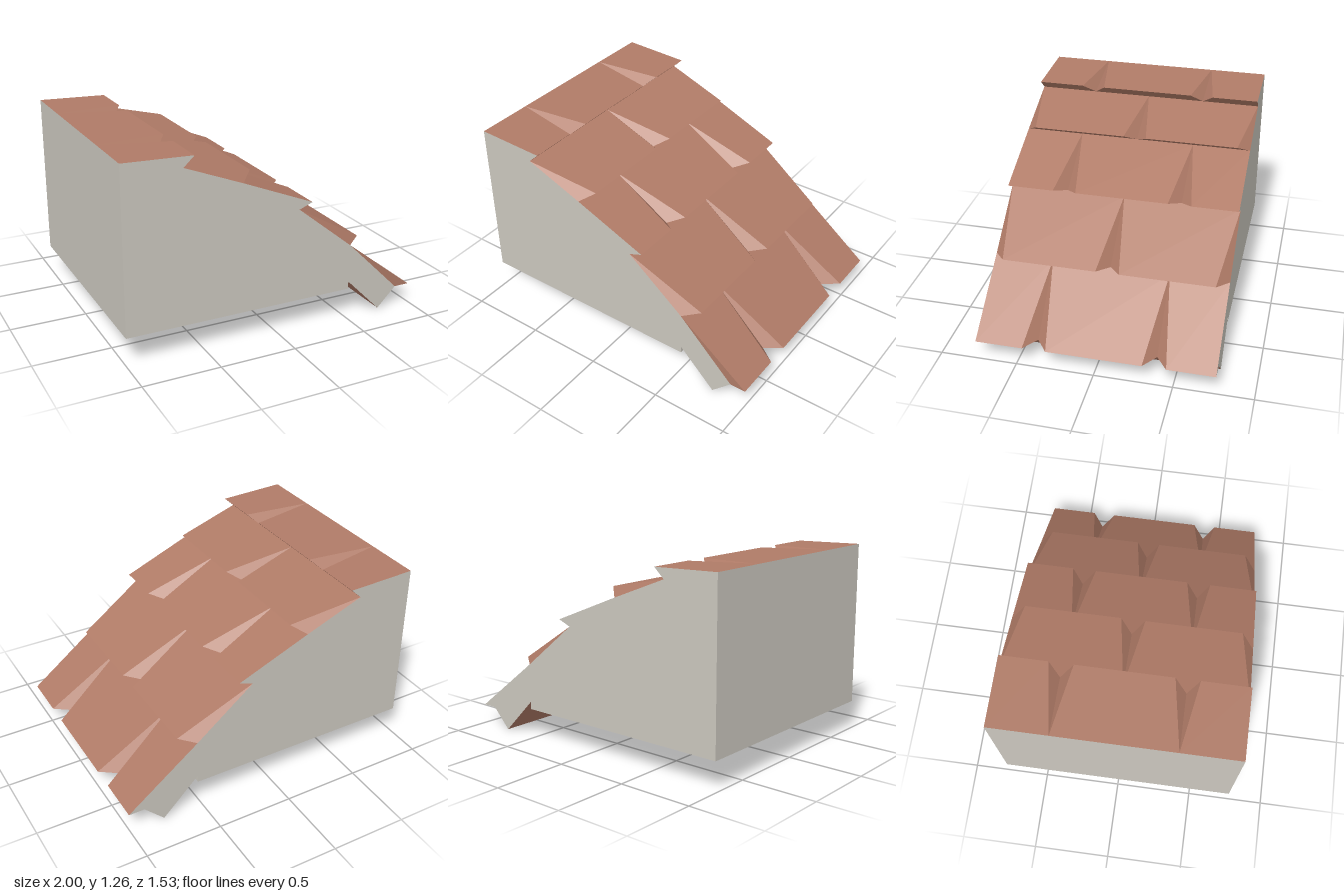
import * as THREE from 'three';

const HALF = 0.763;   // half depth along z
const GAP = 0.076;    // half width of a notch at the tile tips

// Each course: start on the slope, projecting tip, foot under the tip
const courses = [
  { a: [-1, 1.26], t: [-0.55, 1.245], b: [-0.62, 1.18] },
  { a: [-0.62, 1.18], t: [-0.16, 1.08], b: [-0.24, 1.03] },
  { a: [-0.24, 1.03], t: [0.235, 0.835], b: [0.145, 0.8] },
  { a: [0.145, 0.8], t: [0.625, 0.515], b: [0.525, 0.495] },
  { a: [0.525, 0.495], t: [1, 0.13], b: [0.895, 0.13] },
];

// Flat-shaded mesh from a list of convex polygons
function polyMesh(name, polys, material) {
  const pos = [];
  for (const p of polys)
    for (let i = 1; i < p.length - 1; i++) pos.push(...p[0], ...p[i], ...p[i + 1]);
  const geo = new THREE.BufferGeometry();
  geo.setAttribute('position', new THREE.Float32BufferAttribute(pos, 3));
  geo.computeVertexNormals();
  const mesh = new THREE.Mesh(geo, material);
  mesh.name = name;
  return mesh;
}

// Side profile extruded over the full depth
function prism(name, points, materials) {
  const shape = new THREE.Shape(points.map(([x, y]) => new THREE.Vector2(x, y)));
  const geo = new THREE.ExtrudeGeometry(shape, { depth: 2 * HALF, bevelEnabled: false });
  geo.translate(0, 0, -HALF);
  const mesh = new THREE.Mesh(geo, materials);
  mesh.name = name;
  return mesh;
}

export function createModel() {
  const plaster = new THREE.MeshStandardMaterial({ color: 0xcbc7be });
  plaster.name = 'plaster';
  const clay = new THREE.MeshStandardMaterial({ color: 0xb07b67 });
  clay.name = 'clay';

  const model = new THREE.Group();
  model.name = 'roofSection';

  // Solid wall core below the tiles
  model.add(prism('core', [[-1, 0.19], [0.525, 0.19], ...courses.slice(0, 4).map(c => c.b).reverse(), [-1, 1.26]],
    [plaster, plaster]));

  // Overhanging eave: plaster ends, clay faces
  model.add(prism('eave', [[0.525, 0.24], [0.765, 0], [0.895, 0.13], [0.525, 0.495]], [plaster, clay]));

  // Staggered tile courses, with V notches between neighbouring tiles
  courses.forEach(({ a, t, b }, row) => {
    const group = new THREE.Group();
    group.name = `tileCourse${row + 1}`;
    const offset = row % 2 === 1;
    const joints = offset ? [-HALF, 0, HALF] : [-HALF, -HALF / 2, HALF / 2, HALF];
    for (let i = 0; i < joints.length - 1; i++) {
      const z0 = joints[i], z1 = joints[i + 1];
      const first = i === 0, last = i === joints.length - 2;
      const t0 = z0 + (first && !offset ? 0 : GAP);
      const t1 = z1 - (last && !offset ? 0 : GAP);
      const faces = [
        [[...a, z0], [...a, z1], [...t, t1], [...t, t0]],   // top
        [[...b, z0], [...t, t0], [...t, t1], [...b, z1]],   // underside
      ];
      const back = [[...a, z0], [...t, t0], [...b, z0]];
      const front = [[...a, z1], [...b, z1], [...t, t1]];
      const ends = [];
      // Square ends belong to the plaster wall, except the lowest front one
      (first && !offset ? ends : faces).push(back);
      (last && !offset && row < 4 ? ends : faces).push(front);
      group.add(polyMesh('tile', faces, clay));
      if (ends.length) group.add(polyMesh('tileEnd', ends, plaster));
    }
    model.add(group);
  });

  return model;
}
